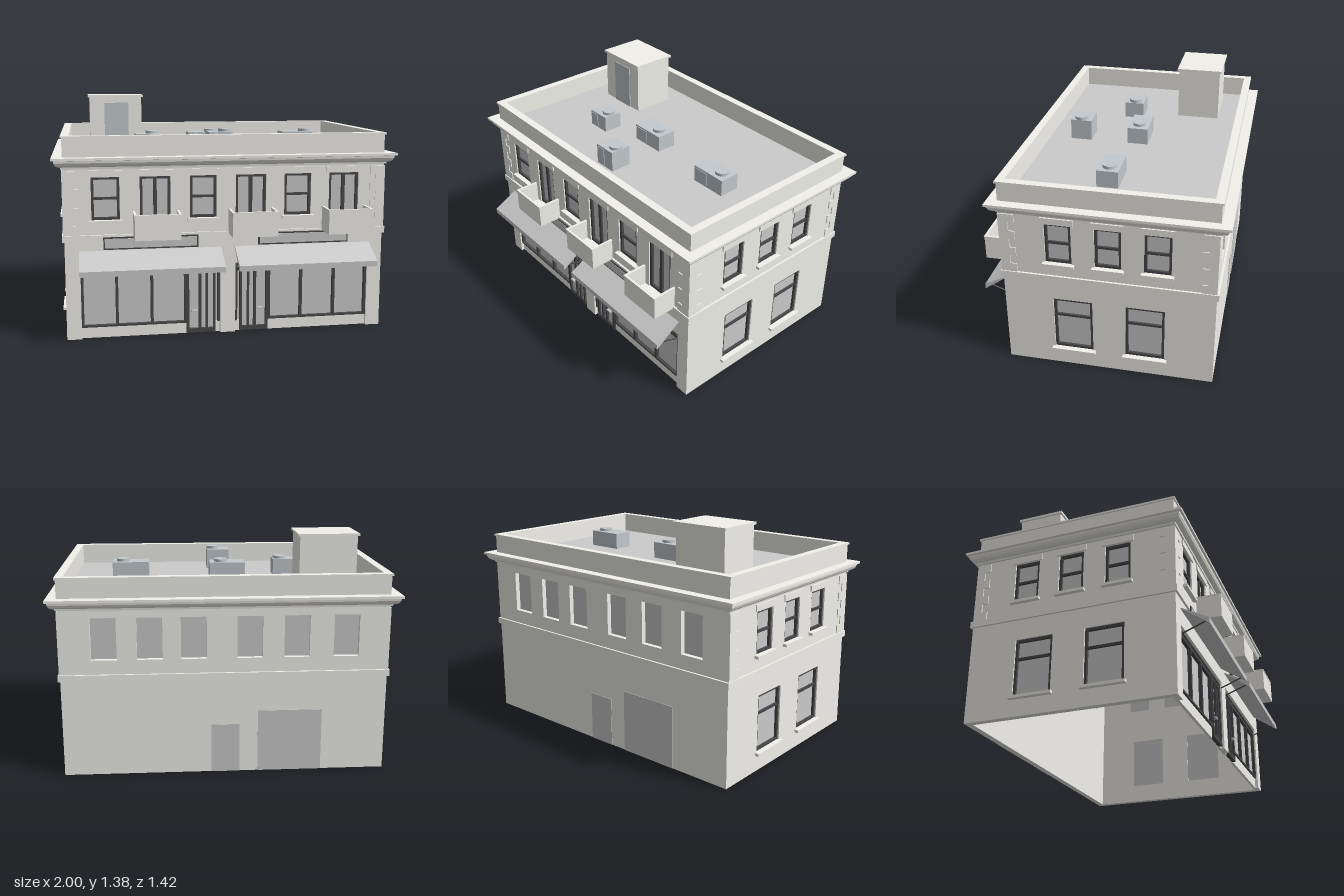
import * as THREE from 'three';

const paint = (color) => new THREE.MeshStandardMaterial({ color });
const stone = paint(0xf2f1ec), grey = paint(0xcccccc), dark = paint(0x48484a), metal = paint(0xc3c9cd);

const X = 0.94, ZF = 0.557, ZB = -0.653, T = 0.037; // wall faces and thickness
const ROOF = 1.05;

function add(parent, name, geometry, material) {
  const mesh = new THREE.Mesh(geometry, material);
  mesh.name = name;
  parent.add(mesh);
  return mesh;
}

// Box given by its extents, in any order
function box(parent, name, mat, xa, xb, ya, yb, za, zb) {
  const geo = new THREE.BoxGeometry(Math.abs(xb - xa), Math.abs(yb - ya), Math.abs(zb - za));
  geo.translate((xa + xb) / 2, (ya + yb) / 2, (za + zb) / 2);
  return add(parent, name, geo, mat);
}

// Moulding swept round the building: profile of [offset from wall, y], outside going up
function ring(parent, name, profile) {
  const pos = [];
  const loop = ([o, y]) => [[-X - o, y, ZF + o], [X + o, y, ZF + o], [X + o, y, ZB - o], [-X - o, y, ZB - o]];
  profile.forEach((p, i) => {
    const lo = loop(p), hi = loop(profile[(i + 1) % profile.length]);
    for (let k = 0; k < 4; k++) {
      const n = (k + 1) % 4;
      for (const v of [lo[k], lo[n], hi[n], lo[k], hi[n], hi[k]]) pos.push(...v);
    }
  });
  const geo = new THREE.BufferGeometry();
  geo.setAttribute('position', new THREE.Float32BufferAttribute(pos, 3));
  geo.computeVertexNormals();
  return add(parent, name, geo, stone);
}

// Wall in local coordinates, outer face at z = 0; openings are [x0, x1, y0, y1]
function wall(parent, name, u0, u1, holes, notches = []) {
  const group = new THREE.Group();
  group.name = name;
  parent.add(group);
  const shape = new THREE.Shape();
  shape.moveTo(u0, 0);
  for (const [a, b, h] of notches) {
    shape.lineTo(a, 0); shape.lineTo(a, h); shape.lineTo(b, h); shape.lineTo(b, 0);
  }
  shape.lineTo(u1, 0); shape.lineTo(u1, 1.165); shape.lineTo(u0, 1.165); shape.closePath();
  for (const [a, b, c, d] of holes) {
    const hole = new THREE.Path();
    hole.moveTo(a, c); hole.lineTo(a, d); hole.lineTo(b, d); hole.lineTo(b, c); hole.closePath();
    shape.holes.push(hole);
  }
  const geo = new THREE.ExtrudeGeometry(shape, { depth: T, bevelEnabled: false });
  geo.translate(0, 0, -T);
  add(group, name + 'Panel', geo, stone);
  return group;
}

// Glass with a dark frame, optional rail height and centre mullion
function sash(g, [a, b, c, d], rail, mullion) {
  const f = 0.015, z0 = -0.03, z1 = -0.008;
  box(g, 'glass', grey, a, b, c, d, -0.034, -0.024);
  box(g, 'frameSide', dark, a, a + f, c, d, z0, z1);
  box(g, 'frameSide', dark, b - f, b, c, d, z0, z1);
  box(g, 'frameTop', dark, a, b, d - f, d, z0, z1);
  box(g, 'frameBottom', dark, a, b, c, c + f, z0, z1);
  if (rail) box(g, 'frameRail', dark, a, b, rail - 0.007, rail + 0.007, z0, z1 - 0.003);
  const m = (a + b) / 2;
  if (mullion) box(g, 'frameMullion', dark, m - 0.01, m + 0.01, c, d, z0, z1 - 0.003);
}

const lintel = (g, [a, b, , d]) => box(g, 'lintel', stone, a - 0.018, b + 0.018, d, d + 0.038, -0.01, 0.008);
const sill = (g, [a, b, c]) => box(g, 'sill', stone, a - 0.015, b + 0.015, c - 0.017, c, -0.03, 0.025);

function balcony(g, a, b) {
  const z = 0.145, t = 0.008, y0 = 0.6, y1 = 0.737;
  box(g, 'balconyFloor', stone, a, b, y0, y0 + 0.015, 0, z);
  box(g, 'balconyFront', stone, a, b, y0, y1, z - t, z);
  for (const [p, q] of [[a, a + t], [b - t, b]]) {
    box(g, 'balconySide', stone, p, q, y0, y1, 0, z);
    box(g, 'balconySideRail', stone, p - 0.003, q + 0.003, y1, y1 + 0.008, 0, z + 0.003);
  }
  box(g, 'balconyFrontRail', stone, a - 0.003, b + 0.003, y1, y1 + 0.008, z - t - 0.003, z + 0.003);
}

// Shop front on one half of the facade, s = 1 or -1
function shopFront(g, s) {
  const b = (name, mat, xa, xb, ...r) => box(g, name, mat, s * xa, s * xb, ...r);
  b('bulkhead', stone, 0.245, 0.855, 0, 0.065, -T, -0.02);
  b('bulkheadEnd', stone, 0.045, 0.075, 0, 0.065, -T, -0.02);
  b('shopGlass', grey, 0.045, 0.855, 0.065, 0.42, -0.036, -0.03);
  b('shopHeader', dark, 0.045, 0.855, 0.37, 0.39, -0.03, -0.01);
  b('shopTopBar', dark, 0.045, 0.855, 0.4, 0.412, -0.03, -0.01);
  b('shopSillBar', dark, 0.245, 0.855, 0.065, 0.077, -0.03, -0.01);
  for (const x of [0.051, 0.25, 0.447, 0.65, 0.848])
    b('shopMullion', dark, x - 0.008, x + 0.008, 0.065, 0.4, -0.03, -0.01);
  // Entrance door
  b('doorGlass', grey, 0.075, 0.243, 0.01, 0.37, -0.03, -0.02);
  for (const [p, q] of [[0.073, 0.087], [0.118, 0.13], [0.156, 0.172], [0.229, 0.245]])
    b('doorStile', dark, p, q, 0.005, 0.37, -0.03, -0.006);
  b('doorBottomRail', dark, 0.073, 0.245, 0.005, 0.03, -0.03, -0.006);
  b('doorHandle', metal, 0.18, 0.215, 0.132, 0.142, -0.02, 0.002);
  // Sign panel
  b('signFrame', dark, 0.178, 0.722, 0.528, 0.6, 0, 0.018);
  b('signFace', grey, 0.186, 0.714, 0.536, 0.592, 0.01, 0.02);
  // Awning wedge with a short front edge and two struts
  const wedge = new THREE.Shape([[0, 0.52], [0, 0.514], [0.155, 0.405], [0.155, 0.437]].map(p => new THREE.Vector2(...p)));
  const geo = new THREE.ExtrudeGeometry(wedge, { depth: 0.82, bevelEnabled: false });
  geo.rotateY(-Math.PI / 2); // profile z becomes -x, profile x becomes +z
  geo.translate(s > 0 ? 0.86 : -0.04, 0, 0);
  add(g, 'awning', geo, grey);
  for (const x of [0.06, 0.84]) {
    const path = new THREE.LineCurve3(new THREE.Vector3(s * x, 0.378, 0), new THREE.Vector3(s * x, 0.428, 0.13));
    add(g, 'awningStrut', new THREE.TubeGeometry(path, 1, 0.004, 6), dark);
  }
}

export function createModel() {
  const model = new THREE.Group();
  model.name = 'cornerShopBuilding';

  // Front wall: sash windows alternate with balcony doors
  const sashes = [[-0.785, -0.625], [-0.222, -0.068], [0.335, 0.495]].map(([a, b]) => [a, b, 0.697, 0.943]);
  const doors = [[-0.51, -0.335], [0.045, 0.225], [0.605, 0.785]].map(([a, b]) => [a, b, 0.615, 0.943]);
  const front = wall(model, 'frontWall', -X, X, [...sashes, ...doors], [[-0.855, -0.045, 0.42], [0.045, 0.855, 0.42]]);
  front.position.z = ZF;
  for (const w of sashes) { sash(front, w, 0.82); lintel(front, w); sill(front, w); }
  for (const w of doors) { sash(front, w, 0, true); lintel(front, w); }
  for (const [a, b] of [[-0.55, -0.29], [0.003, 0.265], [0.565, 0.825]]) balcony(front, a, b);
  for (const s of [-1, 1]) shopFront(front, s);

  // Side walls
  const upper = [[-0.305, -0.155], [-0.025, 0.125], [0.25, 0.402]].map(([a, b]) => [a, b, 0.697, 0.943]);
  const lower = [[-0.272, -0.045], [0.145, 0.37]].map(([a, b]) => [a, b, 0.115, 0.453]);
  for (const s of [1, -1]) {
    const flip = ([a, b, c, d]) => (s > 0 ? [a, b, c, d] : [-b, -a, c, d]);
    const up = upper.map(flip), low = lower.map(flip);
    const [u0, u1] = flip([-ZF, -ZB]);
    const side = wall(model, s > 0 ? 'leftWall' : 'rightWall', u0, u1, [...up, ...low]);
    side.position.x = s * X;
    side.rotation.y = s * Math.PI / 2;
    for (const w of up) { sash(side, w, 0.82); lintel(side, w); sill(side, w); }
    for (const w of low) { sash(side, w, 0.338); sill(side, w); }
  }

  // Back wall: plain recessed panes and two service doors
  const panes = [-0.69, -0.43, -0.18, 0.14, 0.41, 0.695].map(u => [u - 0.073, u + 0.073, 0.697, 0.943]);
  const back = wall(model, 'backWall', -X, X, panes);
  back.position.z = ZB;
  back.rotation.y = Math.PI;
  for (const [a, b, c, d] of panes) box(back, 'backGlass', grey, a, b, c, d, -0.036, -0.028);
  box(back, 'backDoor', grey, -0.083, 0.083, 0, 0.295, -0.002, 0.003);
  box(back, 'serviceDoor', grey, 0.19, 0.565, 0, 0.375, -0.002, 0.003);

  // Corner quoins, alternately long and short
  for (let i = 0; i < 7; i++) {
    const y0 = 0.613 + i * 0.0525, y1 = y0 + 0.0525, w = i % 2 ? 0.05 : 0.085;
    for (const s of [-1, 1]) {
      box(model, 'frontQuoin', stone, s * (X + 0.006), s * (X - w), y0, y1, ZF + 0.006, ZF - w);
      box(model, 'backQuoin', stone, s * (X + 0.006), s * (X - 0.03), y0, y1, ZB, ZB + w);
    }
  }

  // Mouldings
  ring(model, 'stringCourse', [[-0.01, 0.575], [0.012, 0.575], [0.012, 0.613], [-0.01, 0.613]]);
  ring(model, 'cornice', [[-0.01, 0.99], [0.01, 0.99], [0.012, 1.002], [0.026, 1.005], [0.038, 1.014],
    [0.045, 1.028], [0.047, 1.041], [0.06, 1.043], [0.06, 1.057], [-0.01, 1.057]]);
  ring(model, 'parapetCap', [[-T - 0.002, 1.163], [0.008, 1.163], [0.008, 1.175], [-T - 0.002, 1.175]]);

  // Roof and stair house
  box(model, 'roof', grey, -X + T, X - T, ROOF - 0.02, ROOF, ZB + T, ZF - T);
  box(model, 'stairHouse', stone, -0.775, -0.44, ROOF, 1.365, -0.482, -0.217);
  box(model, 'stairHouseRoof', stone, -0.785, -0.428, 1.365, 1.38, -0.493, -0.207);
  box(model, 'stairHouseDoor', metal, -0.68, -0.525, ROOF, 1.33, -0.22, -0.212);

  // Rooftop units: x range, z range, height, fan centre
  for (const [xa, xb, za, zb, h, fx, fz] of [
    [-0.5, -0.35, 0.005, 0.125, 0.1, -0.395, 0.062], [-0.16, 0.06, -0.1, 0.025, 0.1, -0.01, -0.038],
    [-0.085, 0.06, 0.255, 0.385, 0.126, 0.02, 0.325], [0.44, 0.665, -0.05, 0.075, 0.1, 0.6, 0.012]]) {
    box(model, 'roofUnit', metal, xa, xb, ROOF, ROOF + h, za, zb);
    box(model, 'roofUnitPanel', metal, xa + 0.008, xa + (xb - xa) * 0.47, ROOF + 0.01, ROOF + h - 0.01, zb - 0.002, zb + 0.004);
    const fan = add(model, 'roofUnitFan', new THREE.CylinderGeometry(0.04, 0.04, 0.018, 24), metal);
    fan.position.set(fx, ROOF + h + 0.008, fz);
  }
  return model;
}
